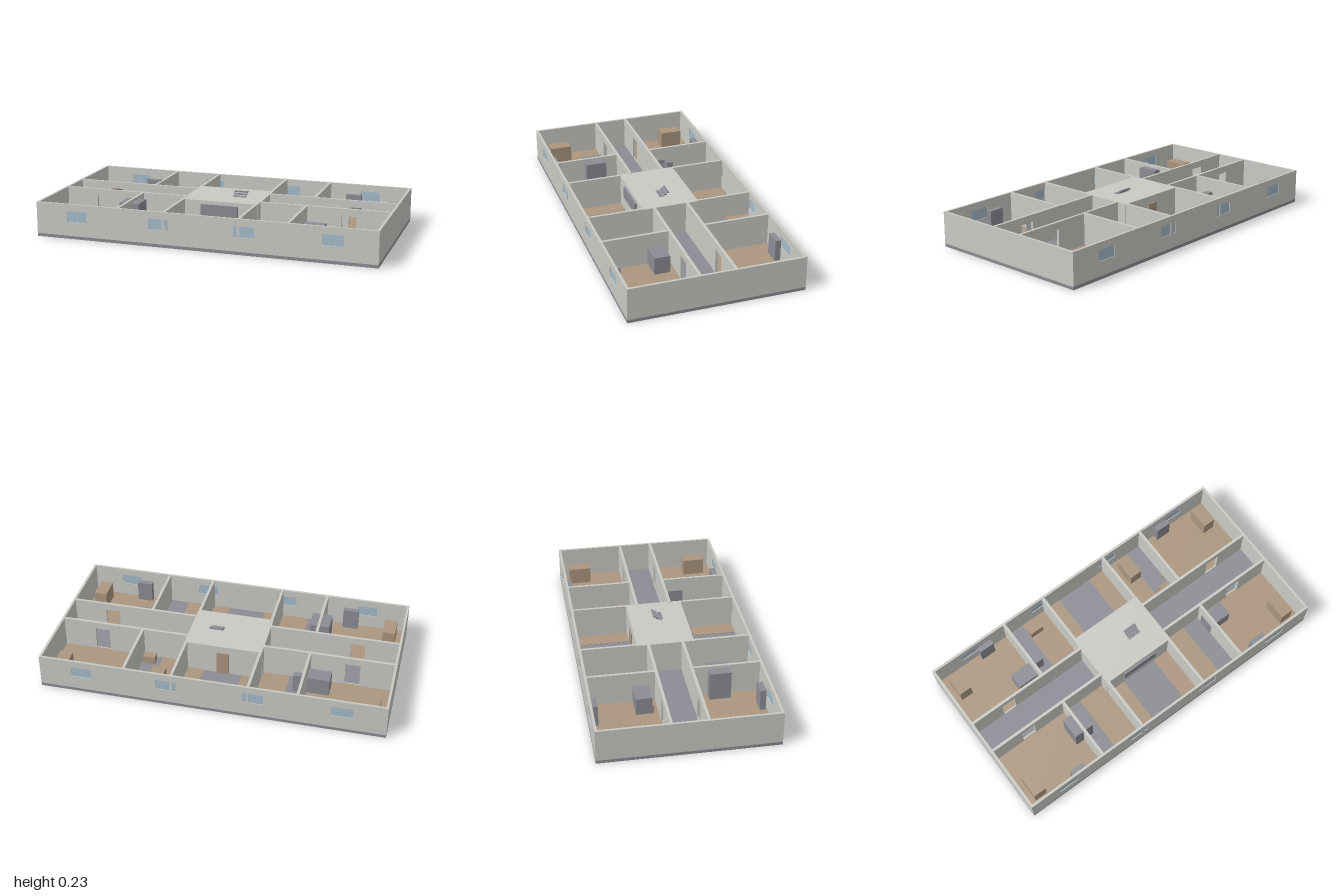
import * as THREE from 'three';

const mat = (name, color) => {
  const m = new THREE.MeshStandardMaterial({ color });
  m.name = name;
  return m;
};

export function createModel() {
  const plaster = mat('plaster', 0xcacac5);
  const concrete = mat('greyFloor', 0x8c8d94);
  const wood = mat('wood', 0xab967f);
  const glass = mat('glass', 0xa5bccb);
  const root = new THREE.Group();
  const FLOOR = 0.018, TOP = 0.205, OUT = 0.014, IN = 0.016;

  // box given by its extents
  function box(name, m, x0, x1, y0, y1, z0, z1) {
    const mesh = new THREE.Mesh(new THREE.BoxGeometry(x1 - x0, y1 - y0, z1 - z0), m);
    mesh.position.set((x0 + x1) / 2, (y0 + y1) / 2, (z0 + z1) / 2);
    mesh.name = name;
    root.add(mesh);
  }

  // wall running along x, with rectangular openings [x0, x1, y0, y1]
  function wall(name, x0, x1, z0, depth, openings) {
    const rect = (P, a, b, c, d) => {
      const p = new P();
      p.moveTo(a, c); p.lineTo(b, c); p.lineTo(b, d); p.lineTo(a, d); p.closePath();
      return p;
    };
    const shape = rect(THREE.Shape, x0, x1, FLOOR, TOP);
    for (const o of openings) shape.holes.push(rect(THREE.Path, ...o));
    const mesh = new THREE.Mesh(new THREE.ExtrudeGeometry(shape, { depth, bevelEnabled: false }), plaster);
    mesh.position.z = z0;
    mesh.name = name;
    root.add(mesh);
  }

  // slab
  box('slab', concrete, -1, 1, 0, FLOOR, -0.5, 0.5);

  // wooden room floors
  for (const [z0, z1] of [[-0.49, -0.1], [0.1, 0.49]])
    for (const [x0, x1] of [[-0.99, -0.5], [-0.39, -0.22], [-0.22, -0.112], [0.112, 0.22], [0.22, 0.382], [0.5, 0.99]])
      box('woodFloor', wood, x0, x1, FLOOR - 0.002, FLOOR + 0.002, z0, z1);

  // long outer walls with windows
  const windows = [-0.75, -0.25, 0.25, 0.75].map(x => [x - 0.06, x + 0.06, 0.1, 0.163]);
  for (const s of [-1, 1]) {
    wall('longOuterWall', -1, 1, s > 0 ? 0.5 - OUT : -0.5, OUT, windows);
    for (const [x0, x1, y0, y1] of windows)
      box('windowPane', glass, x0, x1, y0, y1, s * (0.5 - OUT / 2) - 0.003, s * (0.5 - OUT / 2) + 0.003);
  }

  // end walls, corridor walls with doorways, room partitions
  for (const s of [-1, 1]) {
    box('endWall', plaster, s > 0 ? 1 - OUT : -1, s > 0 ? 1 : -1 + OUT, FLOOR, TOP, -0.5 + OUT, 0.5 - OUT);
    for (const t of [-1, 1]) {
      const [x0, x1] = s > 0 ? [0.22, 1 - OUT] : [-1 + OUT, -0.22];
      wall('corridorWall', x0, x1, t * 0.1 - IN / 2, IN,
        [[s * 0.75 - 0.043, s * 0.75 + 0.043, FLOOR + 0.001, 0.163]]);
      for (const [x, inner, outer] of [[0.5, 0.1, 0.5 - OUT], [0.22, 0.16, 0.5]])
        box('partition', plaster, s * x - IN / 2, s * x + IN / 2, FLOOR, TOP,
          t > 0 ? inner : -outer, t > 0 ? outer : -inner);
    }
  }

  // central core, its door, wall panel and the top stair treads
  box('core', plaster, -0.23, 0.23, FLOOR, 0.203, -0.167, 0.167);
  box('coreDoor', wood, -0.036, 0.036, FLOOR, 0.16, -0.175, -0.166);
  box('wallPanel', concrete, -0.112, 0.112, 0.115, 0.182, 0.166, 0.18);
  for (let i = 0; i < 4; i++) {
    const z = 0.021 - i * 0.0145, y = Math.max(0.1985, 0.187 + i * 0.0115);
    box('stairTread', concrete, 0.034, 0.114, y - 0.001, y + 0.007, z - 0.007, z + 0.007);
  }

  // furniture: x0, x1, z0, z1, top
  const woodPieces = [
    ['desk', 0.3, 0.378, -0.445, -0.31, 0.11],
    ['sideTable', -0.388, -0.303, -0.43, -0.385, 0.08],
    ['sideTable', 0.41, 0.483, -0.182, -0.135, 0.065],
    ['stool', -0.635, -0.555, -0.175, -0.132, 0.07],
  ];
  for (const s of [-1, 1]) {
    const x = s * 0.905;
    woodPieces.push(['dresser', x - 0.038, x + 0.038, -0.445, -0.312, 0.122]);
    woodPieces.push(['dresser', x - 0.038, x + 0.038, 0.305, 0.438, 0.122]);
  }
  const greyPieces = [
    ['counter', -0.637, -0.492, -0.235, -0.142, 0.122],
    ['counter', 0.487, 0.63, 0.14, 0.23, 0.122],
    ['tallUnit', -0.562, -0.443, 0.19, 0.313, 0.188],
    ['basin', -0.477, -0.428, -0.24, -0.203, 0.13],
  ];
  for (const s of [-1, 1]) {
    const x = s * 0.656;
    greyPieces.push(['cabinet', x - 0.046, x + 0.046, -0.482, -0.449, 0.145]);
    greyPieces.push(['cabinet', x - 0.046, x + 0.046, 0.445, 0.478, 0.145]);
  }
  for (const [list, m] of [[woodPieces, wood], [greyPieces, concrete]])
    for (const [name, x0, x1, z0, z1, top] of list) box(name, m, x0, x1, FLOOR, top, z0, z1);

  return root;
}
